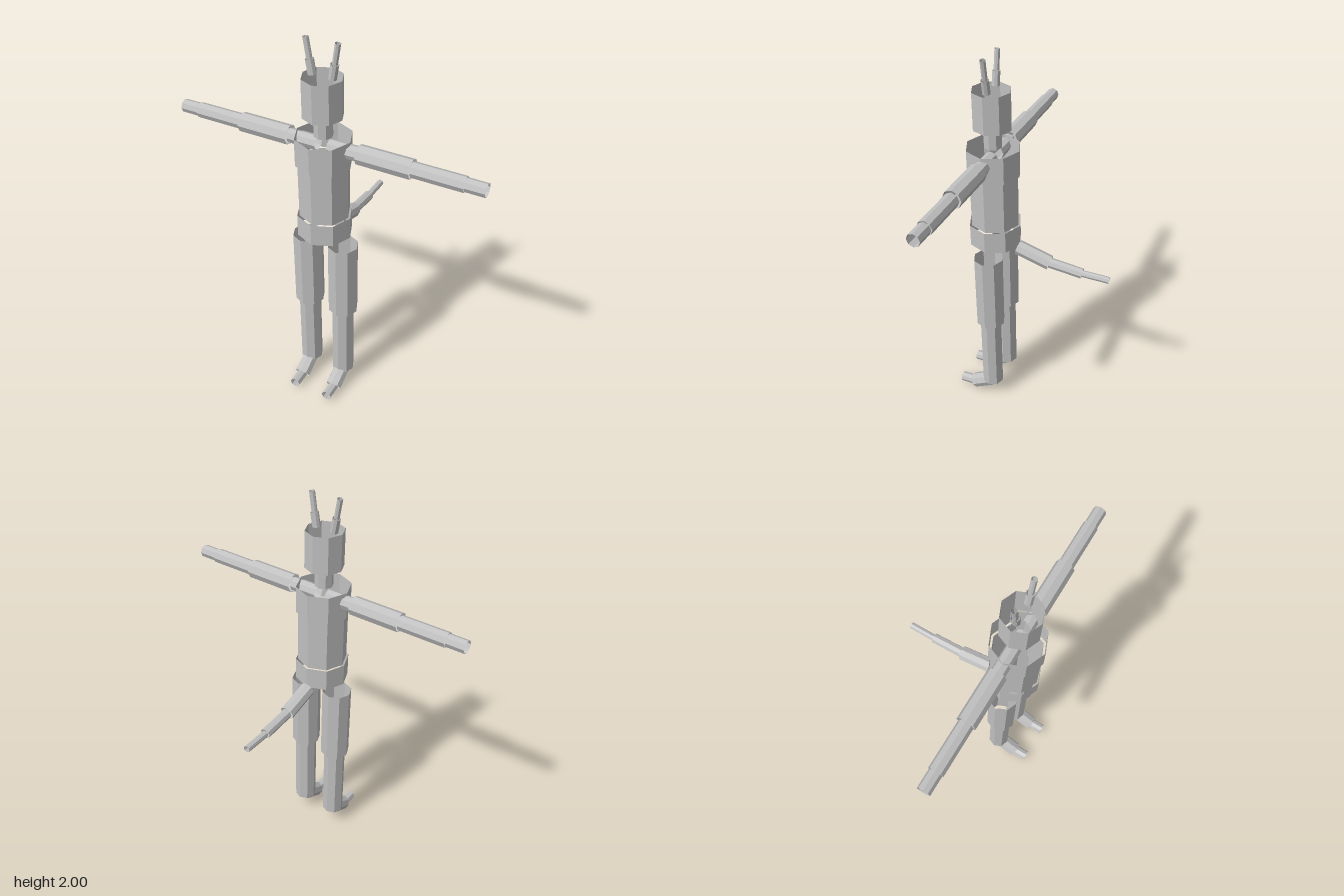
import * as THREE from 'three';

const grey = new THREE.MeshStandardMaterial({ color: 0xc0c0c0, flatShading: true, side: THREE.DoubleSide });
grey.name = 'grey';

const UP = new THREE.Vector3(0, 1, 0);
const Z = 0.212; // depth of the body axis

// Open eight-sided tube between two points
function tube(name, radius, from, to) {
  const a = new THREE.Vector3(...from);
  const b = new THREE.Vector3(...to);
  const dir = b.clone().sub(a);
  const mesh = new THREE.Mesh(new THREE.CylinderGeometry(radius, radius, dir.length(), 8, 1, true), grey);
  mesh.name = name;
  mesh.position.copy(a).add(b).multiplyScalar(0.5);
  mesh.quaternion.setFromUnitVectors(UP, dir.normalize());
  return mesh;
}

// Chain of tubes: points are joints, each segment is [name, radius]
function chain(name, points, segments) {
  const group = new THREE.Group();
  group.name = name;
  segments.forEach(([part, r], i) => group.add(tube(part, r, points[i], points[i + 1])));
  return group;
}

export function createModel() {
  const model = new THREE.Group();
  model.name = 'figure';

  // Head, neck and torso
  model.add(chain('body',
    [[0, 1.005, Z], [0, 1.12, Z], [0, 1.4, Z], [0, 1.54, Z], [0, 1.64, Z], [0, 1.83, Z]],
    [['pelvis', 0.137], ['waist', 0.126], ['chest', 0.137], ['neck', 0.046], ['head', 0.097]]));

  // Tail, sloping down and levelling out behind
  model.add(chain('tail',
    [[0, 0.986, 0.088], [0, 0.935, -0.087], [0, 0.916, -0.263], [0, 0.914, -0.406]],
    [['tailBase', 0.039], ['tailMiddle', 0.027], ['tailTip', 0.018]]));

  for (const [side, s] of [['left', 1], ['right', -1]]) {
    // Ears
    model.add(chain(side + 'Ear',
      [[s * 0.05, 1.83, Z], [s * 0.062, 1.9, Z], [s * 0.078, 1.998, Z]],
      [['earBase', 0.02], ['earTip', 0.014]]));

    // Arms stretched sideways
    model.add(chain(side + 'Arm',
      [0.03, 0.178, 0.44, 0.685, 0.78].map(x => [s * x, 1.49, Z - 0.003]),
      [['shoulder', 0.036], ['upperArm', 0.048], ['forearm', 0.038], ['hand', 0.033]]));

    // Legs, feet and toes
    const x = s * 0.098;
    model.add(chain(side + 'Leg',
      [[x, 0.95, Z], [x, 0.535, Z], [x, 0.1, Z], [x, 0.041, 0.325], [x, 0.041, 0.406]],
      [['thigh', 0.077], ['shin', 0.058], ['foot', 0.042], ['toe', 0.027]]));
  }
  return model;
}
